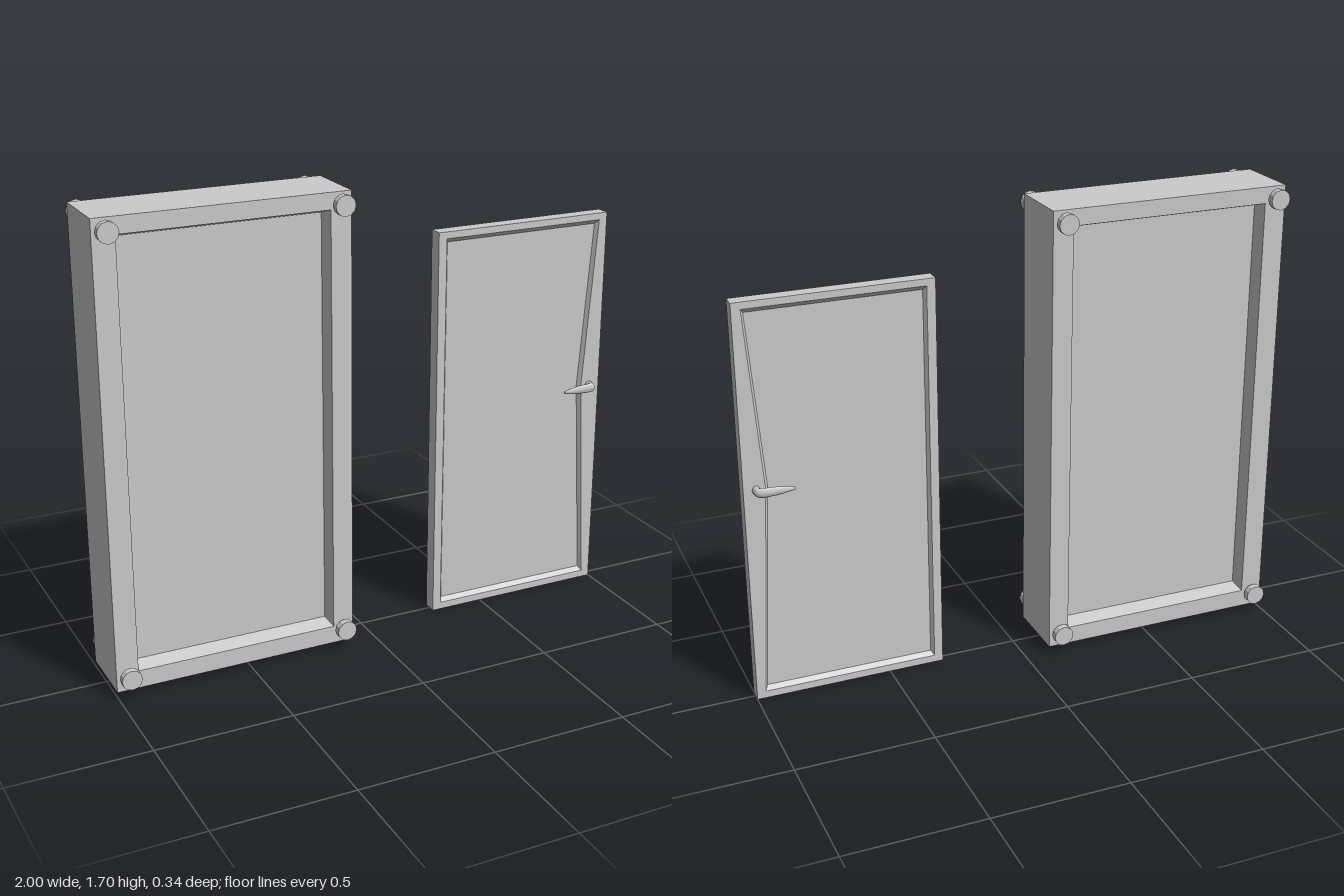
import * as THREE from 'three';
import { mergeGeometries } from 'three/addons/utils/BufferGeometryUtils.js';

const grey = () => new THREE.MeshStandardMaterial({ color: 0xcccccc });

function addMesh(parent, name, geometry, flat = false) {
  const material = grey();
  material.flatShading = flat;
  const mesh = new THREE.Mesh(geometry, material);
  mesh.name = name;
  parent.add(mesh);
  return mesh;
}

const rect = (x0, y0, x1, y1) => [[x0, y0], [x1, y0], [x1, y1], [x0, y1]];

// Strip of quads joining loop a at depth za to loop b at depth zb
function band(a, za, b, zb) {
  const pos = [];
  a.forEach((p, i) => {
    const j = (i + 1) % a.length;
    const A = [...p, za], B = [...a[j], za], C = [...b[j], zb], D = [...b[i], zb];
    pos.push(...A, ...B, ...C, ...A, ...C, ...D);
  });
  const g = new THREE.BufferGeometry();
  g.setAttribute('position', new THREE.Float32BufferAttribute(pos, 3));
  return g;
}

// Flat face at depth z, turned to the back when z is negative
function face(loop, z, hole) {
  const points = (l) => l.map(([x, y]) => new THREE.Vector2(x, y));
  const shape = new THREE.Shape(points(loop));
  if (hole) shape.holes.push(new THREE.Path(points(hole)));
  const indexed = new THREE.ShapeGeometry(shape);
  if (z < 0) indexed.index.array.reverse();
  const g = indexed.toNonIndexed().translate(0, 0, z);
  g.deleteAttribute('normal');
  g.deleteAttribute('uv');
  return g;
}

function merged(parts) {
  const g = mergeGeometries(parts);
  g.computeVertexNormals();
  return g;
}

// Slab of half thickness h with a bevelled recess on both faces
function recessedSlab(parent, name, outer, opening, floor, h, depth) {
  const d = h - depth;
  addMesh(parent, name + 'Surround', merged([
    band(outer, -h, outer, h),
    face(outer, h, opening), face(outer, -h, opening),
    band(opening, h, floor, d), band(floor, -d, opening, -h),
  ]));
  addMesh(parent, name + 'Panel', merged([face(floor, d), face(floor, -d)]));
}

// Lever stations: x, z, tangent x, tangent z, half height, half thickness
const LEVER = [
  [0.955, 0.020, 0, 1, 0.016, 0.014],
  [0.955, 0.044, 0, 1, 0.016, 0.014],
  [0.951, 0.055, -0.71, 0.71, 0.018, 0.013],
  [0.936, 0.059, -1, 0, 0.018, 0.008],
  [0.890, 0.060, -1, 0, 0.016, 0.007],
  [0.850, 0.061, -1, 0, 0.010, 0.005],
  [0.827, 0.062, -1, 0, 0.005, 0.003],
];

// Cylinder bent and tapered along the stations
function leverGeometry() {
  const rows = LEVER.length - 1;
  const g = new THREE.CylinderGeometry(1, 1, 1, 12, rows);
  const p = g.attributes.position;
  for (let i = 0; i < p.count; i++) {
    const [x, z, tx, tz, hh, ht] = LEVER[Math.round((p.getY(i) + 0.5) * rows)];
    const side = p.getZ(i) * ht;
    p.setXYZ(i, x + tz * side, p.getX(i) * hh, z - tx * side);
  }
  g.computeVertexNormals();
  return g;
}

export function createModel() {
  const model = new THREE.Group();
  model.name = 'frameAndDoor';

  // Thick frame
  const frame = new THREE.Group();
  frame.name = 'frame';
  recessedSlab(frame, 'frame',
    rect(-1, 0.02, -0.096, 1.7),
    rect(-0.92, 0.086, -0.172, 1.64),
    rect(-0.909, 0.104, -0.183, 1.622), 0.125, 0.055);

  // Corner bolts on both faces
  for (const s of [-1, 1]) for (const x of [-0.957, -0.137]) for (const y of [0.079, 1.659]) {
    const bolt = new THREE.Group();
    bolt.name = 'cornerBolt';
    bolt.position.set(x, y, s * 0.125);
    bolt.rotation.x = s * Math.PI / 2;
    addMesh(bolt, 'boltShank', new THREE.CylinderGeometry(0.021, 0.021, 0.03, 12).translate(0, 0.01, 0), true);
    addMesh(bolt, 'boltHead', new THREE.CylinderGeometry(0.037, 0.037, 0.026, 12).translate(0, 0.031, 0), true);
    frame.add(bolt);
  }
  model.add(frame);

  // Thin door, its recess pinched towards the handle
  const door = new THREE.Group();
  door.name = 'door';
  recessedSlab(door, 'door',
    rect(0.294, 0, 1, 1.487),
    [[0.326, 0.027], [0.968, 0.027], [0.922, 0.815], [0.968, 1.462], [0.326, 1.462]],
    [[0.336, 0.043], [0.957, 0.043], [0.911, 0.815], [0.957, 1.446], [0.336, 1.446]], 0.027, 0.015);

  // Handles front and back
  for (const turn of [0, Math.PI]) {
    const handle = addMesh(door, turn ? 'backHandle' : 'frontHandle', leverGeometry());
    handle.position.y = 0.816;
    handle.rotation.x = turn;
  }
  model.add(door);
  return model;
}
